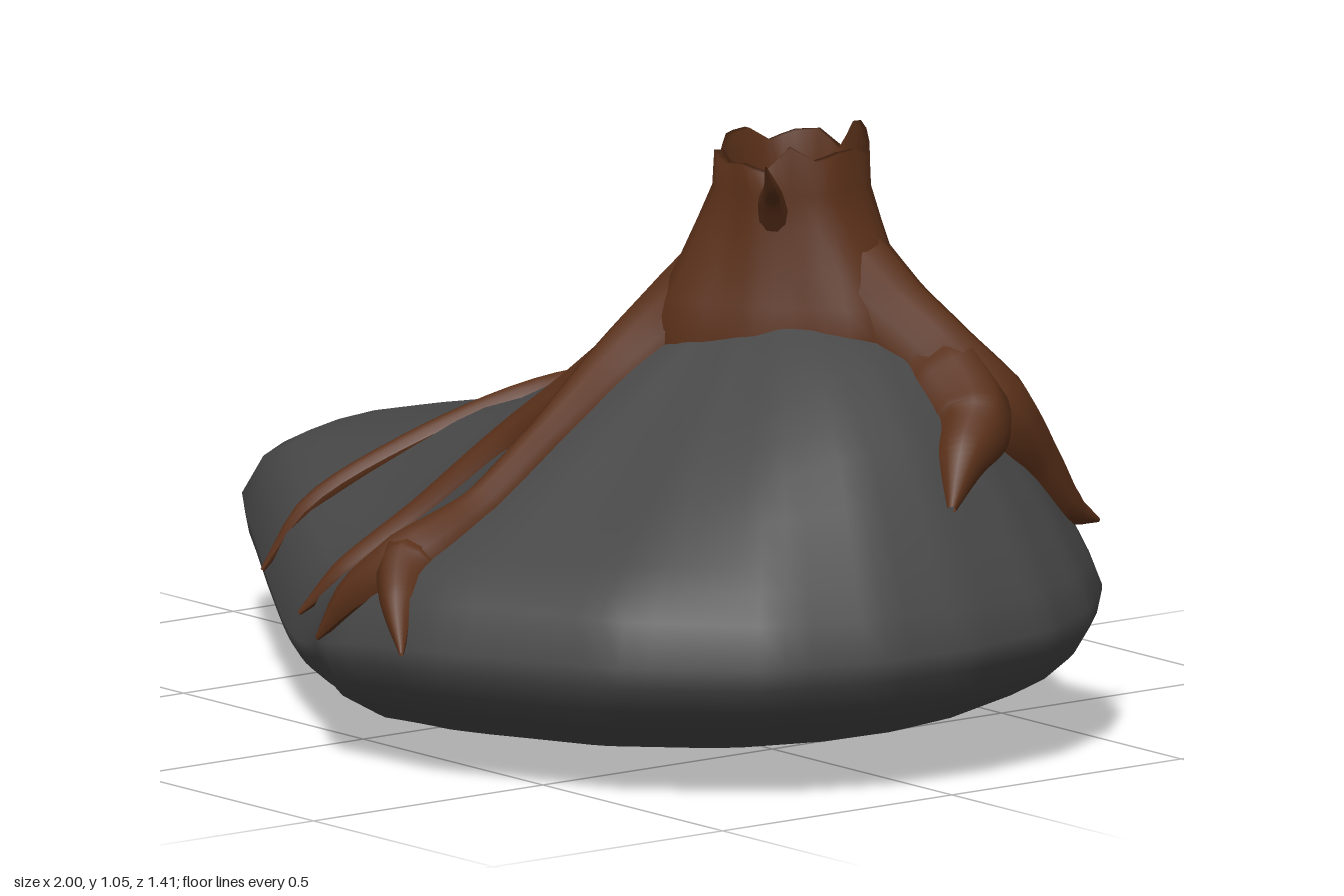
import * as THREE from 'three';

const ROCK = new THREE.MeshStandardMaterial({ color: 0x484848 });
const BARK = new THREE.MeshStandardMaterial({ color: 0x5a3019, side: THREE.DoubleSide });
const WOOD = new THREE.MeshStandardMaterial({ color: 0x94834f });

const CX = 0.36, CZ = -0.13; // summit of the boulder

// Boulder rim seen from above (x, z)
const RIM = [
  [-1, -0.25], [-0.92, -0.42], [-0.8, -0.54], [-0.65, -0.6], [-0.42, -0.61], [-0.17, -0.69],
  [0.12, -0.71], [0.38, -0.64], [0.58, -0.55], [0.76, -0.52], [0.88, -0.4], [0.96, -0.25],
  [1, -0.05], [0.99, 0.13], [0.92, 0.33], [0.72, 0.53], [0.38, 0.68], [0.12, 0.69],
  [-0.07, 0.56], [-0.3, 0.43], [-0.6, 0.25], [-0.92, 0.05], [-0.99, -0.08],
];

// Slope heights from summit to rim in the four main directions
const T = [0, 0.25, 0.5, 0.7, 0.85, 0.95, 1];
const SLOPE = {
  left: [0.77, 0.63, 0.475, 0.41, 0.37, 0.34, 0.25],
  right: [0.77, 0.755, 0.69, 0.585, 0.44, 0.33, 0.25],
  front: [0.77, 0.71, 0.565, 0.45, 0.385, 0.34, 0.24],
  back: [0.77, 0.75, 0.69, 0.565, 0.43, 0.34, 0.28],
};

function sample(xs, ys, x) {
  let i = 0;
  while (i < xs.length - 2 && x > xs[i + 1]) i++;
  const f = THREE.MathUtils.clamp((x - xs[i]) / (xs[i + 1] - xs[i]), 0, 1);
  return ys[i] + (ys[i + 1] - ys[i]) * f;
}

// Distance from summit to rim: ray against the rim polygon
function rimDistance(a) {
  const dx = Math.cos(a), dz = Math.sin(a);
  let best = 0;
  RIM.forEach(([x1, z1], i) => {
    const [x2, z2] = RIM[(i + 1) % RIM.length];
    const ex = x2 - x1, ez = z2 - z1, px = x1 - CX, pz = z1 - CZ;
    const d = dx * ez - dz * ex;
    const r = (px * ez - pz * ex) / d, u = (px * dz - pz * dx) / d;
    if (r > 0 && u >= -1e-6 && u <= 1 + 1e-6) best = Math.max(best, r);
  });
  return best;
}

// Blend of the four slopes, with the edge drooping at the front right
function slopeHeight(a, t) {
  const c = Math.cos(a), s = Math.sin(a);
  const h = (k) => sample(T, SLOPE[k], t);
  const droop = 0.11 * Math.max(0, Math.cos(a - 2.42)) ** 8 * THREE.MathUtils.smoothstep(t, 0.45, 1);
  return c * c * h(c > 0 ? 'right' : 'left') + s * s * h(s > 0 ? 'front' : 'back') - droop;
}

function groundHeight(x, z) {
  const a = Math.atan2(z - CZ, x - CX);
  return slopeHeight(a, Math.min(1, Math.hypot(x - CX, z - CZ) / rimDistance(a)));
}

// Closed loops joined row by row; at(row, angle, column) gives [x, y, z]
function loft(rows, cols, at) {
  const pos = [], index = [];
  for (let i = 0; i < rows; i++)
    for (let j = 0; j < cols; j++) pos.push(...at(i, (j / cols) * Math.PI * 2, j));
  for (let i = 0; i < rows - 1; i++)
    for (let j = 0; j < cols; j++) {
      const a = i * cols + j, b = i * cols + ((j + 1) % cols);
      index.push(a, b, a + cols, b, b + cols, a + cols);
    }
  const g = new THREE.BufferGeometry();
  g.setAttribute('position', new THREE.Float32BufferAttribute(pos, 3));
  g.setIndex(index);
  g.computeVertexNormals();
  return g;
}

function boulderGeometry() {
  const top = [0, 0.12, 0.25, 0.38, 0.5, 0.6, 0.7, 0.78, 0.85, 0.91, 0.96, 1];
  // Underside rings: share of the rim's reach and of its height
  const under = [[0.99, 0.84], [0.96, 0.66], [0.91, 0.5], [0.78, 0.28], [0.65, 0.18], [0.5, 0.1], [0.25, 0.03], [0, 0]];
  return loft(top.length + under.length, 96, (i, a) => {
    const R = rimDistance(a), dx = Math.cos(a) * R, dz = Math.sin(a) * R;
    if (i < top.length) {
      const t = top[i];
      return [CX + dx * t, slopeHeight(a, t), CZ + dz * t];
    }
    const [s, y] = under[i - top.length];
    return [(CX + dx) * s, y * slopeHeight(a, 1), (CZ + dz) * s];
  });
}

// Hollow trunk with jagged rim, flaring toward its three roots
function trunkGeometry() {
  const rows = [[0.105, 0.86], [0.112, 0.94], [0.118, 1], [0.132, 1], [0.132, 0.96], [0.138, 0.9], [0.147, 0.83], [0.158, 0.77], [0.168, 0.72], [0.17, 0.66]];
  const jag = [0.03, 0.02, 0.045, 0, 0.01, 0.005, 0.02, 0.0, 0.03, 0.035, 0.01, 0.025, 0.03, 0.0, 0.055, 0.05, 0.01, 0.03];
  const rootAngles = [-2.78, 2.05, -0.3];
  return loft(rows.length, 36, (i, a, j) => {
    let [r, y] = rows[i];
    const rim = i === 2 || i === 3;
    if (rim) y += (jag[j >> 1] + jag[((j + 1) >> 1) % 18]) / 2;
    const depth = THREE.MathUtils.clamp((0.97 - y) / 0.22, 0, 1);
    if (i > 2) {
      for (const d of rootAngles) r += 0.075 * depth * Math.max(0, Math.cos(a - d)) ** 6;
      r += 0.004 * Math.sin(a * 7);
    }
    return [0.39 + Math.cos(a) * r, y, -0.13 + Math.sin(a) * r];
  });
}

// Tapered tube through [x, z, radius, optional y]; follows the boulder if y is absent
function rootGeometry(points) {
  const n = 36, sides = 10;
  const curve = new THREE.CatmullRomCurve3(
    points.map(([x, z, , y]) => new THREE.Vector3(x, y ?? groundHeight(x, z), z)));
  const g = new THREE.TubeGeometry(curve, n, 1, sides);
  const p = g.attributes.position, v = new THREE.Vector3();
  const stops = points.map((_, i) => i / (points.length - 1));
  const radii = points.map((q) => q[2]);
  for (let i = 0; i <= n; i++) {
    const c = curve.getPointAt(i / n);
    const r = sample(stops, radii, curve.getUtoTmapping(i / n));
    for (let j = 0; j <= sides; j++) {
      const k = i * (sides + 1) + j;
      v.fromBufferAttribute(p, k).sub(c).multiplyScalar(r).add(c);
      p.setXYZ(k, v.x, v.y, v.z);
    }
  }
  g.computeVertexNormals();
  return g;
}

const ROOTS = {
  sideRoot: [[0.36, -0.18, 0.09, 0.84], [0.2, -0.265, 0.068, 0.72], [0, -0.31, 0.045], [-0.18, -0.315, 0.038],
    [-0.27, -0.27, 0.036], [-0.33, -0.12, 0.026], [-0.43, 0.08, 0.022], [-0.51, 0.22, 0.02], [-0.555, 0.285, 0.004, 0.18]],
  sideRootBranch: [[-0.16, -0.32, 0.025], [-0.25, -0.33, 0.035], [-0.29, -0.4, 0.024], [-0.33, -0.5, 0.02], [-0.375, -0.59, 0.003]],
  frontRoot: [[0.36, -0.1, 0.1, 0.85], [0.28, 0.01, 0.085, 0.73], [0.25, 0.12, 0.065], [0.26, 0.3, 0.038],
    [0.255, 0.45, 0.037], [0.23, 0.58, 0.055], [0.17, 0.65, 0.036, 0.3], [0.12, 0.695, 0.004, 0.22]],
  frontRootToe: [[0.24, 0.5, 0.03], [0.24, 0.59, 0.052], [0.29, 0.65, 0.034, 0.305], [0.355, 0.695, 0.004, 0.23]],
  frontRootBranch: [[0.29, 0.0, 0.06, 0.72], [0.23, 0.08, 0.062], [0.13, 0.13, 0.05], [0.02, 0.19, 0.038],
    [-0.08, 0.31, 0.028], [-0.14, 0.43, 0.024], [-0.185, 0.495, 0.004, 0.19]],
  backRoot: [[0.44, -0.15, 0.1, 0.85], [0.57, -0.2, 0.08, 0.745], [0.67, -0.24, 0.075, 0.67], [0.725, -0.3, 0.078],
    [0.73, -0.385, 0.052], [0.725, -0.46, 0.036], [0.725, -0.535, 0.004, 0.37]],
  backRootBranch: [[0.58, -0.21, 0.06, 0.72], [0.69, -0.23, 0.08, 0.645], [0.78, -0.215, 0.072], [0.835, -0.15, 0.046, 0.54], [0.885, -0.09, 0.008, 0.47]],
  brokenTwig: [[0.455, -0.04, 0.03, 0.91], [0.485, -0.01, 0.022, 0.96], [0.515, 0.015, 0.012, 0.99], [0.54, 0.045, 0.002, 1.03]],
};

export function createModel() {
  const group = new THREE.Group();
  const add = (name, geometry, material) => {
    const mesh = new THREE.Mesh(geometry, material);
    mesh.name = name;
    group.add(mesh);
    return mesh;
  };
  add('boulder', boulderGeometry(), ROCK);
  add('trunk', trunkGeometry(), BARK);
  // Pale heartwood inside the broken trunk
  add('heartwood', new THREE.ConeGeometry(0.112, 0.025, 14), WOOD).position.set(0.39, 0.88, -0.13);
  for (const [name, points] of Object.entries(ROOTS)) add(name, rootGeometry(points), BARK);
  return group;
}
